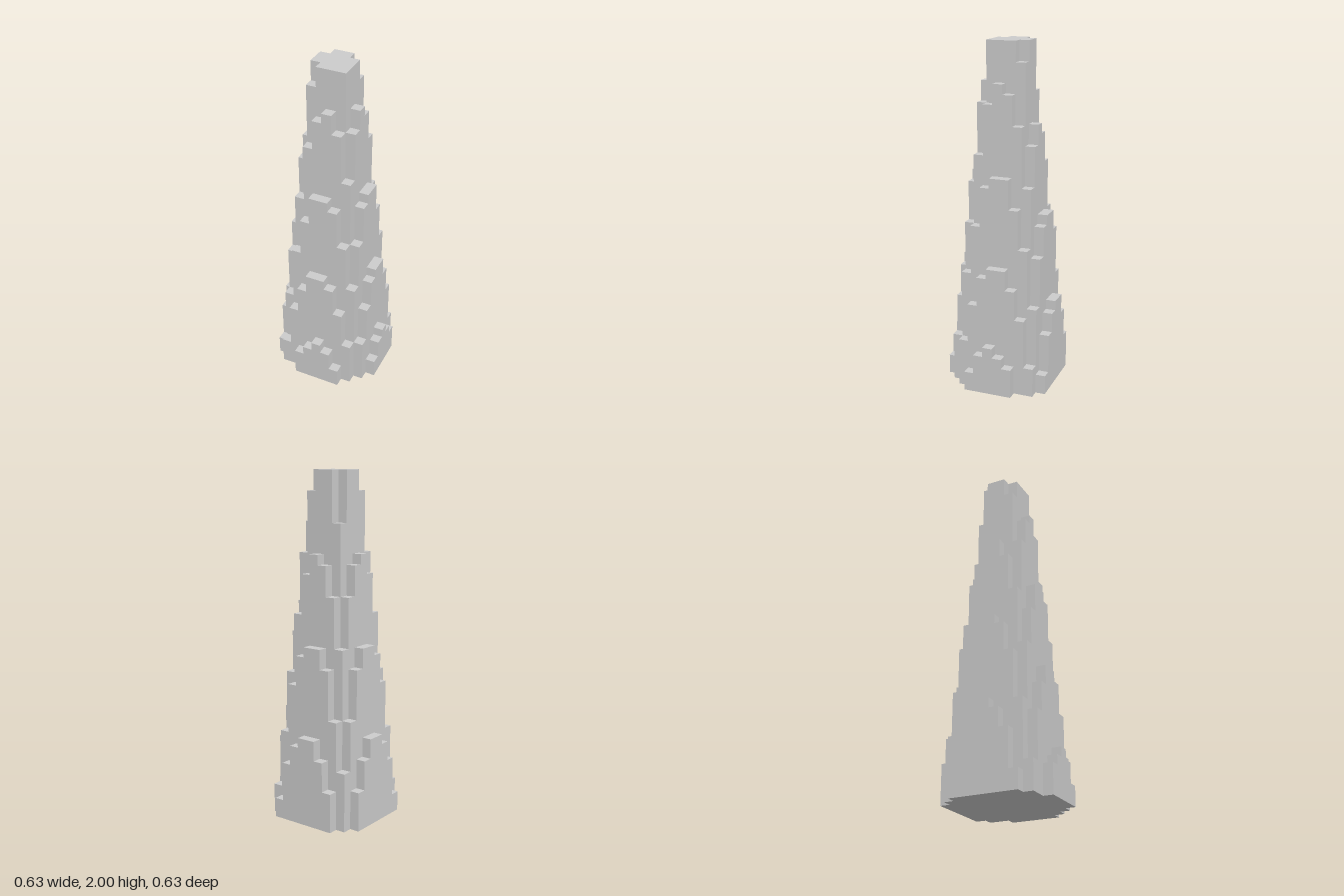
import * as THREE from 'three';

const LEVELS = 35;            // block layers in the full height
const U = 2 / LEVELS;         // edge of one block
const R = 5;                  // blocks on each side of the middle one

// Height in blocks of the column at (i, k): a steep rounded cone, axis slightly off centre
function columnHeight(i, k) {
  if (Math.max(Math.abs(i), Math.abs(k)) > R) return 0;
  const d = Math.pow(Math.abs(i + 0.27) ** 2.2 + Math.abs(k + 0.27) ** 2.2, 1 / 2.2);
  return THREE.MathUtils.clamp(Math.ceil(8.75 * (5.745 - d)), 0, LEVELS);
}

// Only the exposed faces of the stacked blocks
function steppedGeometry() {
  const pos = [];
  const quad = (a, b, c, d) => {
    for (const p of [a, b, c, a, c, d]) pos.push(p[0] * U, p[1] * U, p[2] * U);
  };
  for (let i = -R; i <= R; i++) {
    for (let k = -R; k <= R; k++) {
      const h = columnHeight(i, k);
      if (h === 0) continue;
      const x0 = i - 0.5, x1 = i + 0.5, z0 = k - 0.5, z1 = k + 0.5;
      // step top and underside
      quad([x0, h, z1], [x1, h, z1], [x1, h, z0], [x0, h, z0]);
      quad([x0, 0, z0], [x1, 0, z0], [x1, 0, z1], [x0, 0, z1]);
      // walls down to each lower neighbour
      for (const [dx, dz] of [[1, 0], [-1, 0], [0, 1], [0, -1]]) {
        const n = columnHeight(i + dx, k + dz);
        if (n >= h) continue;
        const cx = i + dx / 2, cz = k + dz / 2;
        const sx = dz / 2, sz = -dx / 2;   // along the wall, to its right
        quad([cx - sx, n, cz - sz], [cx + sx, n, cz + sz],
          [cx + sx, h, cz + sz], [cx - sx, h, cz - sz]);
      }
    }
  }
  const g = new THREE.BufferGeometry();
  g.setAttribute('position', new THREE.Float32BufferAttribute(pos, 3));
  g.computeVertexNormals();
  return g;
}

export function createModel() {
  const group = new THREE.Group();
  group.name = 'blockSpire';
  const spire = new THREE.Mesh(
    steppedGeometry(),
    new THREE.MeshStandardMaterial({ color: 0xcccccc, flatShading: true })
  );
  spire.name = 'steppedSpire';
  group.add(spire);
  return group;
}
